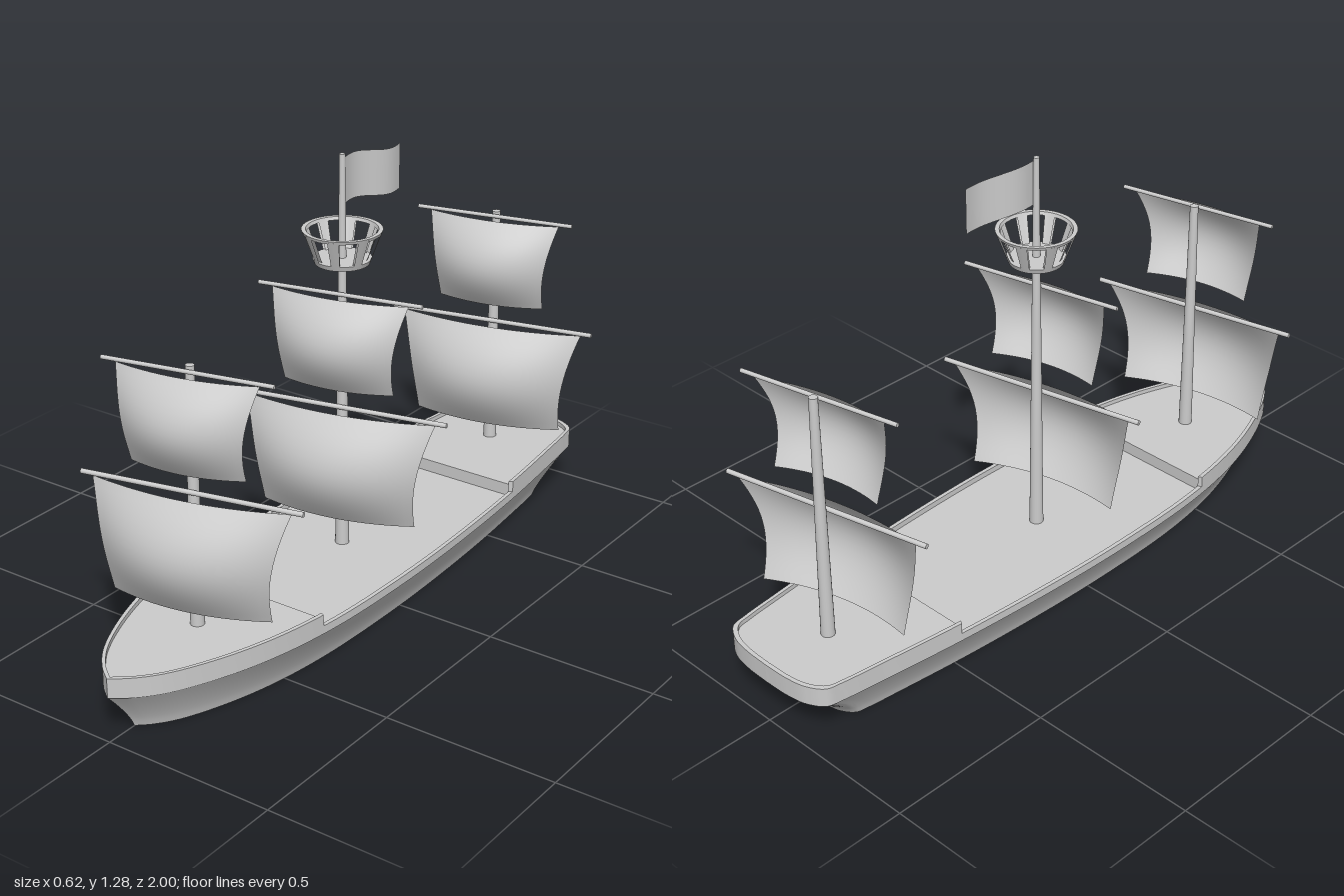
import * as THREE from 'three';
import { toCreasedNormals } from 'three/addons/utils/BufferGeometryUtils.js';

const mat = new THREE.MeshStandardMaterial({ color: 0xcccccc });
const thin = new THREE.MeshStandardMaterial({ color: 0xcccccc, side: THREE.DoubleSide });

function add(parent, name, geo, material = mat) {
  const mesh = new THREE.Mesh(geo, material);
  mesh.name = name;
  parent.add(mesh);
  return mesh;
}

// Half outline of the hull at its widest level, [x, z] from stern to bow
const outline = new THREE.CatmullRomCurve3(
  [[0, -1], [0.08, -0.997], [0.14, -0.985], [0.185, -0.955], [0.196, -0.91], [0.21, -0.8], [0.24, -0.53],
    [0.262, -0.2], [0.268, 0.08], [0.256, 0.38], [0.22, 0.6], [0.165, 0.77], [0.1, 0.9], [0.045, 0.965], [0, 1]]
    .map(([x, z]) => new THREE.Vector3(x, 0, z))
).getPoints(84).map(p => [p.x, p.z]);

function pointAt(z) {
  const i = Math.max(1, outline.findIndex(p => p[1] >= z));
  const [a, b] = [outline[i - 1], outline[i]];
  return [a[0] + (b[0] - a[0]) * (z - a[1]) / (b[1] - a[1]), z];
}

// Part of the half outline between two stations
function sidePath(z0, z1) {
  const pts = outline.filter(p => p[1] > z0 && p[1] < z1);
  return [z0 <= -1 ? outline[0] : pointAt(z0), ...pts, z1 >= 1 ? outline[outline.length - 1] : pointAt(z1)];
}

const mirrored = pts => [...pts, ...pts.map(([x, z]) => [-x, z]).reverse()];

// Plan shape in [x, z] raised from y0 to y1
function prism(pts, y0, y1) {
  const shape = new THREE.Shape(pts.map(([x, z]) => new THREE.Vector2(x, -z)));
  const geo = new THREE.ExtrudeGeometry(shape, { depth: y1 - y0, bevelEnabled: false });
  geo.rotateX(-Math.PI / 2).translate(0, y0, 0);
  return toCreasedNormals(geo, 0.5);
}

function buildHull(parent) {
  const hull = new THREE.Group();
  hull.name = 'hull';
  parent.add(hull);

  // Flared lower hull lofted from the bottom outline to the widest one
  const ring = mirrored(outline.slice()).filter((p, i, a) => i === 0 || Math.hypot(p[0] - a[i - 1][0], p[1] - a[i - 1][1]) > 1e-5);
  ring.pop();
  const levels = 8, n = ring.length, pos = [], index = [];
  const level = f => {
    const k = Math.pow(f, 1.25);
    return ring.map(([x, z]) => [x * (0.75 + 0.25 * k), z * (z > 0 ? 0.905 + 0.095 * k : 0.86 + 0.14 * k)]);
  };
  for (let l = 0; l <= levels; l++) {
    for (const [x, z] of level(l / levels)) pos.push(x, 0.13 * l / levels, z);
  }
  for (let l = 0; l < levels; l++) {
    for (let j = 0; j < n; j++) {
      const a = l * n + j, b = l * n + (j + 1) % n;
      index.push(a, a + n, b, b, a + n, b + n);
    }
  }
  const geo = new THREE.BufferGeometry();
  geo.setAttribute('position', new THREE.Float32BufferAttribute(pos, 3));
  geo.setIndex(index);
  add(hull, 'lowerHull', toCreasedNormals(geo, 0.5));

  const bottom = new THREE.Shape(level(0).map(([x, z]) => new THREE.Vector2(x, z)));
  add(hull, 'hullBottom', new THREE.ShapeGeometry(bottom).rotateX(Math.PI / 2));

  // Decks with a thin rail on both sides
  const sections = [['aft', -1, -0.53, 0.172, 0.185], ['main', -0.53, 0.43, 0.135, 0.152], ['fore', 0.43, 1, 0.172, 0.185]];
  for (const [name, z0, z1, deckY, railY] of sections) {
    const path = sidePath(z0, z1);
    add(hull, name + 'Deck', prism(mirrored(path), 0.128, deckY));
    for (const s of [1, -1]) {
      const outer = path.map(([x, z]) => [s * x, z]);
      const inner = path.map(([x, z]) => [s * x * 0.955, z * 0.988]).reverse();
      add(hull, name + 'Rail', prism([...outer, ...inner], 0.13, railY));
    }
  }
}

// Billowing sail hanging from a yard
function sailGeometry(halfWidth, height, bulge) {
  const geo = new THREE.PlaneGeometry(2, 1, 20, 14);
  const p = geo.attributes.position;
  for (let i = 0; i < p.count; i++) {
    const u = p.getX(i), v = 0.5 - p.getY(i);
    const belly = Math.sin(Math.PI * v);
    const w = halfWidth * (1 - 0.19 * (1 - (1 - v) ** 2));
    p.setXYZ(i, u * w, -v * height, 0.035 * belly + 0.007 * v + bulge * (0.55 + 0.45 * belly) * (1 - u * u));
  }
  geo.computeVertexNormals();
  return geo;
}

function buildMast(parent, name, z, top) {
  const mast = new THREE.Group();
  mast.name = name;
  mast.position.set(-0.005, 0, z);
  parent.add(mast);
  const r = top > 1 ? 0.008 : 0.012;
  add(mast, 'mastPole', new THREE.CylinderGeometry(r, 0.02, top - 0.13, 20)).position.y = (top + 0.13) / 2;

  // Yards swung slightly round the mast, each with its sail
  const rigs = [['lower', 0.562, 0.63, 0.007, 0.282, 0.315, 0.075], ['upper', 0.894, 0.48, 0.006, 0.2, 0.262, 0.055]];
  for (const [level, y, length, radius, half, height, bulge] of rigs) {
    const rig = new THREE.Group();
    rig.name = level + 'Rig';
    rig.position.set(0.005, y, 0.019);
    rig.rotation.y = 0.215;
    mast.add(rig);
    add(rig, level + 'Yard', new THREE.CylinderGeometry(radius, radius, length, 14).rotateZ(Math.PI / 2));
    add(rig, level + 'Sail', sailGeometry(half, height, bulge), thin).position.y = -0.006;
  }
  return mast;
}

function buildLookout(mast) {
  const nest = new THREE.Group();
  nest.name = 'lookout';
  nest.position.y = 0.98;
  mast.add(nest);
  const radius = y => 0.075 + 0.035 * y / 0.095;
  const profile = (y0, y1, t) => [[radius(y0) - t, y0], [radius(y0), y0], [radius(y1), y1], [radius(y1) - t, y1], [radius(y0) - t, y0]]
    .map(([x, y]) => new THREE.Vector2(x, y));
  const lathe = (pts, seg, start, len) => toCreasedNormals(new THREE.LatheGeometry(pts, seg, start, len), 0.5);

  add(nest, 'lookoutFloor', new THREE.CylinderGeometry(radius(0.014), radius(0), 0.014, 40)).position.y = 0.007;
  add(nest, 'lookoutRim', lathe(profile(0.086, 0.095, 0.012), 40, 0, Math.PI * 2), thin);
  const count = 8, arc = 0.3;
  for (let i = 0; i < count; i++) {
    const angle = (i + 0.5) * Math.PI * 2 / count;
    add(nest, 'lookoutSlat', lathe(profile(0.01, 0.09, 0.01), 4, angle - arc / 2, arc), thin);
  }
}

// Waving flag trailing aft from the mast top
function buildFlag(mast) {
  const geo = new THREE.PlaneGeometry(1, 1, 24, 6);
  const p = geo.attributes.position;
  for (let i = 0; i < p.count; i++) {
    const u = p.getX(i) + 0.5, v = p.getY(i) + 0.5;
    const x = 0.005 + 0.024 * u - 0.011 * Math.sin(u * Math.PI * 2);
    const y = 1.145 + 0.128 * v - 0.012 * u + 0.004 * Math.sin(u * Math.PI * 2);
    p.setXYZ(i, x, y, -0.005 - 0.222 * u);
  }
  geo.computeVertexNormals();
  add(mast, 'flag', geo, thin);
}

export function createModel() {
  const ship = new THREE.Group();
  ship.name = 'sailingShip';
  buildHull(ship);
  buildMast(ship, 'foreMast', 0.638, 0.905);
  buildMast(ship, 'aftMast', -0.792, 0.905);
  const main = buildMast(ship, 'mainMast', -0.008, 1.283);
  buildLookout(main);
  buildFlag(main);
  return ship;
}
